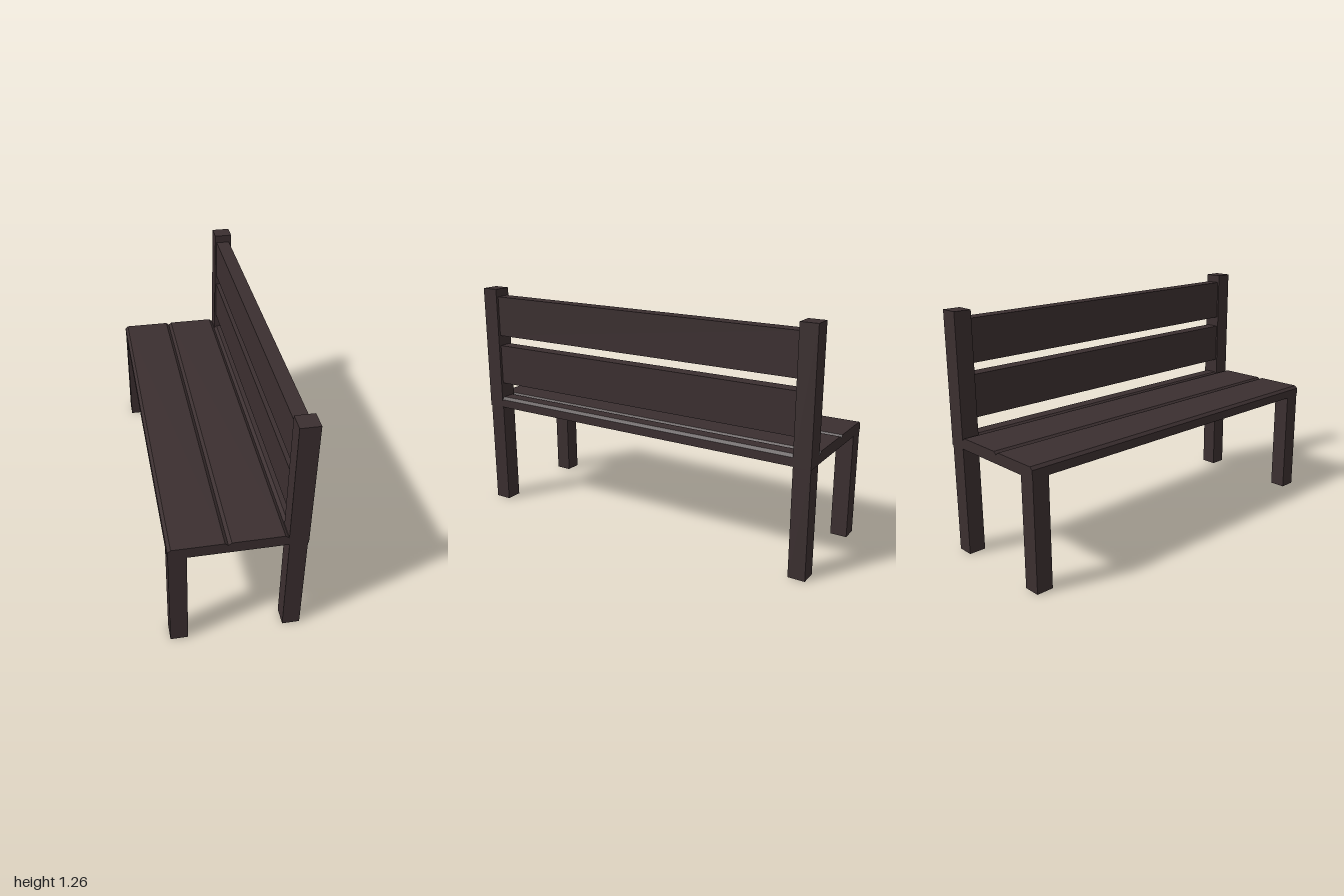
import * as THREE from 'three';

export function createModel() {
  const bench = new THREE.Group();
  bench.name = 'bench';
  const wood = new THREE.MeshStandardMaterial({ color: 0x3b2f30 });
  wood.name = 'dark wood';

  // Box given by its min and max corners
  function addBox(name, [x0, y0, z0], [x1, y1, z1]) {
    const mesh = new THREE.Mesh(new THREE.BoxGeometry(x1 - x0, y1 - y0, z1 - z0), wood);
    mesh.position.set((x0 + x1) / 2, (y0 + y1) / 2, (z0 + z1) / 2);
    mesh.name = name;
    bench.add(mesh);
  }

  // Seat: planks with bevelled top edges, meeting in V grooves
  const bottom = 0.575, edge = 0.62, top = 0.634, bevel = 0.016;
  const joints = [-0.333, -0.05, 0.235, 0.333];
  const profile = new THREE.Shape();
  profile.moveTo(joints[0], bottom);
  profile.lineTo(joints[3], bottom);
  for (let i = 3; i > 0; i--) {
    profile.lineTo(joints[i], edge);
    profile.lineTo(joints[i] - bevel, top);
    profile.lineTo(joints[i - 1] + bevel, top);
  }
  profile.lineTo(joints[0], edge);
  profile.closePath();
  const seatGeometry = new THREE.ExtrudeGeometry(profile, { depth: 2, bevelEnabled: false });
  seatGeometry.translate(0, 0, -1);
  const seat = new THREE.Mesh(seatGeometry, wood);
  seat.name = 'seat';
  bench.add(seat);

  // Legs and back posts at both ends
  for (const [side, z0, z1] of [['Near', 0.908, 0.998], ['Far', -0.998, -0.908]]) {
    addBox('frontLeg' + side, [-0.332, 0, z0], [-0.243, 0.58, z1]);
    addBox('backLeg' + side, [0.241, 0, z0], [0.33, 0.58, z1]);
    const p0 = z0 > 0 ? z0 : -1, p1 = z0 > 0 ? 1 : z1;
    addBox('backPost' + side, [0.237, 0.574, p0], [0.334, 1.26, p1]);
  }

  // Backrest slats between the posts
  addBox('lowerBackSlat', [0.246, 0.718, -0.912], [0.32, 0.938, 0.912]);
  addBox('upperBackSlat', [0.246, 0.996, -0.912], [0.32, 1.217, 0.912]);

  return bench;
}
